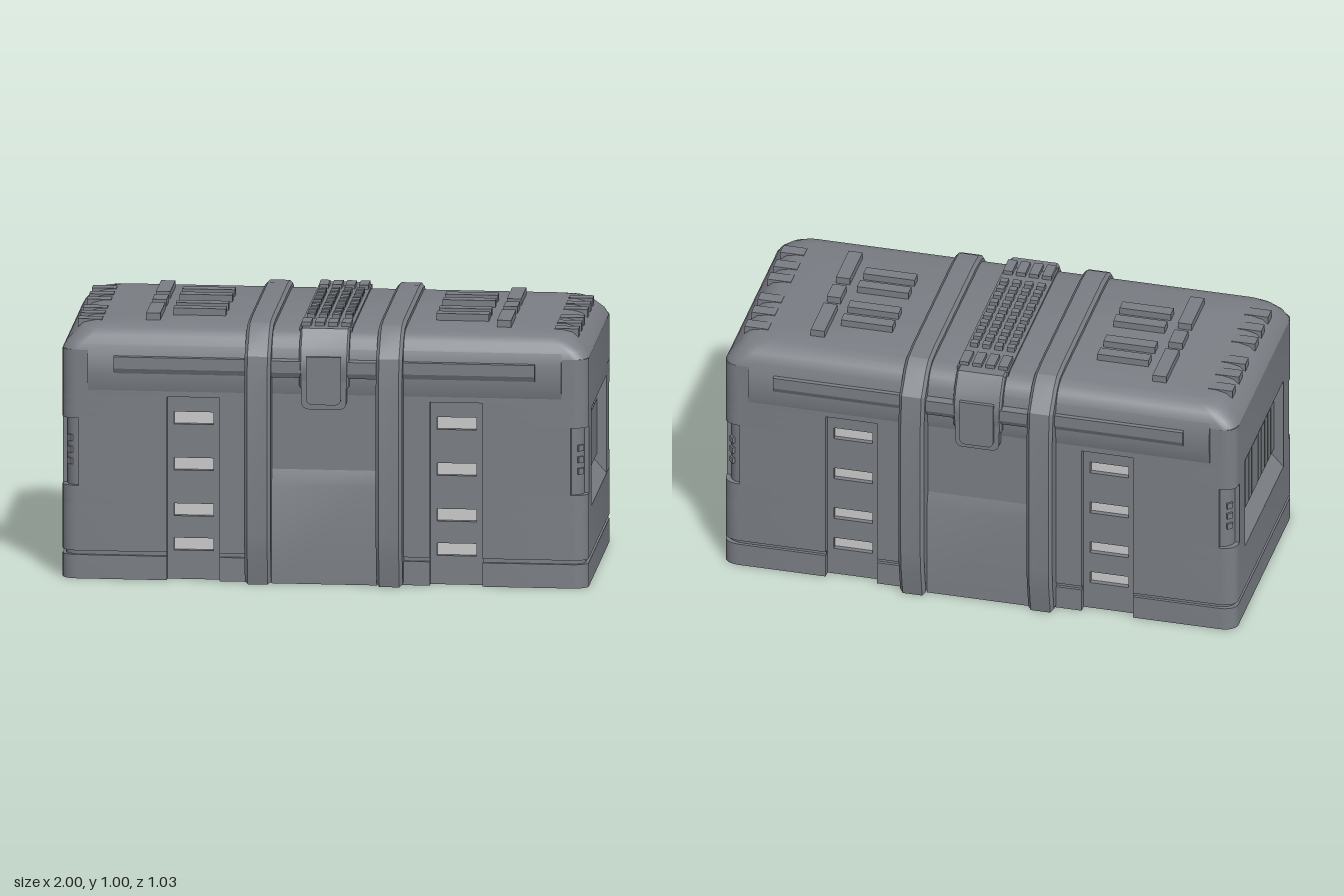
import * as THREE from 'three';
import { toCreasedNormals } from 'three/addons/utils/BufferGeometryUtils.js';

const dark = new THREE.MeshStandardMaterial({ color: 0x7b7f85 });
const light = new THREE.MeshStandardMaterial({ color: 0xcccccc });

export function createModel() {
  const model = new THREE.Group();

  const add = (name, geo, parent = model, mat = dark) => {
    const mesh = new THREE.Mesh(geo, mat);
    mesh.name = name;
    parent.add(mesh);
    return mesh;
  };
  // box from its min and max corners
  const box = (name, x0, x1, y0, y1, z0, z1, parent = model, mat = dark) => {
    const mesh = add(name, new THREE.BoxGeometry(x1 - x0, y1 - y0, z1 - z0), parent, mat);
    mesh.position.set((x0 + x1) / 2, (y0 + y1) / 2, (z0 + z1) / 2);
    return mesh;
  };
  // [z, y] profile swept along x, with an optional bevel on its ends
  const sweepX = (pts, x0, x1, bevel = 0) => {
    const shape = new THREE.Shape(pts.map(([z, y]) => new THREE.Vector2(-z, y)));
    const geo = new THREE.ExtrudeGeometry(shape, {
      depth: x1 - x0 - 2 * bevel, bevelEnabled: bevel > 0, bevelSegments: 1,
      bevelSize: bevel, bevelThickness: bevel, bevelOffset: -bevel,
    });
    return toCreasedNormals(geo.rotateY(Math.PI / 2).translate(x0 + bevel, 0, 0), 0.35);
  };
  const mirrorZ = (half) => [...half, ...half.map(([z, y]) => [-z, y]).reverse()];
  // the same part on the front and, turned round, on the back
  const bothFaces = (name, build) => [0, Math.PI].forEach((turn) => {
    const g = new THREE.Group();
    g.name = name;
    g.rotation.y = turn;
    build(g);
    model.add(g);
  });

  // body: plan sections stacked upwards, notched for columns, corners and end grilles
  const bodyLayer = (y0, y1, { inset = 0, column = true, end = false, corner = false }) => {
    const X = 1 - inset, Z = 0.442 - inset, q = [[0.2, Z]];
    if (column) q.push([0.4, Z], [0.4, 0.385], [0.6, 0.385], [0.6, Z]);
    const d = corner ? 0.014 : 0;
    if (corner) q.push([0.935, Z]);
    for (let i = 0; i <= 6; i++) {
      const a = (i / 6) * Math.PI / 2;
      q.push([X - d - 0.06 + d + (0.06 - d) * Math.sin(a) - (corner ? 0.003 : 0),
        Z - d - 0.045 + 0.045 * Math.cos(a)]);
    }
    if (corner) q.push([X, 0.383]);
    if (end) q.push([X, 0.295], [0.94, 0.295]);
    const half = [...q, ...q.map(([x, z]) => [x, -z]).reverse()];
    const all = [...half, ...half.map(([x, z]) => [-x, -z])];
    const shape = new THREE.Shape(all.map(([x, z]) => new THREE.Vector2(x, z)));
    const geo = new THREE.ExtrudeGeometry(shape, { depth: y1 - y0, bevelEnabled: false });
    add('body', toCreasedNormals(geo.rotateX(-Math.PI / 2).translate(0, y0, 0), 0.5));
  };
  bodyLayer(0, 0.092, {});
  bodyLayer(0.092, 0.108, { inset: 0.012 });
  bodyLayer(0.108, 0.29, {});
  bodyLayer(0.29, 0.36, { end: true });
  bodyLayer(0.36, 0.62, { end: true, corner: true });
  bodyLayer(0.62, 0.67, { end: true });
  bodyLayer(0.67, 0.71, {});
  bodyLayer(0.71, 0.885, { column: false });

  // domed lid: rounded rectangles [half x, half z, radius, y] joined in rings
  const rings = [[1, 0.442, 0.06, 0.885], [0.985, 0.436, 0.065, 0.912], [0.955, 0.42, 0.07, 0.94],
    [0.93, 0.395, 0.08, 0.962], [0.89, 0.355, 0.08, 0.972], [0.001, 0.001, 0.001, 0.973]];
  const pos = [], idx = [], n = 28;
  rings.forEach(([hx, hz, r, y], k) => {
    for (let i = 0; i < n; i++) {
      const c = Math.floor(i / 7), a = (c + (i % 7) / 6) * Math.PI / 2;
      const sx = c === 0 || c === 3 ? 1 : -1, sz = c < 2 ? 1 : -1;
      pos.push(sx * (hx - r) + r * Math.cos(a), y, sz * (hz - r) + r * Math.sin(a));
      if (k) {
        const b = k * n + i, e = k * n + (i + 1) % n;
        idx.push(b - n, b, e, b - n, e, e - n);
      }
    }
  });
  const dome = new THREE.BufferGeometry();
  dome.setAttribute('position', new THREE.Float32BufferAttribute(pos, 3));
  dome.setIndex(idx);
  add('lid', toCreasedNormals(dome, 0.6));
  add('lidOverhang', sweepX(mirrorZ([[0.435, 0.71], [0.445, 0.74], [0.452, 0.79], [0.452, 0.86],
    [0.436, 0.91]]), -0.9, 0.9));

  // straps wrapping the whole case
  const strap = mirrorZ([[0.485, 0], [0.51, 0.13], [0.515, 0.2], [0.515, 0.76], [0.5, 0.885],
    [0.432, 0.965], [0.385, 0.992], [0.3, 1]]);
  for (const x of [-0.3, 0.2]) add('strap', sweepX(strap, x, x + 0.1, 0.012));

  bothFaces('facePanels', (g) => {
    // recessed columns with four light slots each
    for (const x of [-0.5, 0.5]) {
      const plate = new THREE.Shape([[-0.1, 0], [0.1, 0], [0.1, 0.71], [-0.1, 0.71]]
        .map((p) => new THREE.Vector2(...p)));
      for (const y of [0.135, 0.268, 0.445, 0.623]) {
        plate.holes.push(new THREE.Path([[-0.075, y - 0.024], [-0.075, y + 0.024],
          [0.075, y + 0.024], [0.075, y - 0.024]].map((p) => new THREE.Vector2(...p))));
        box('lightSlot', x - 0.076, x + 0.076, y - 0.025, y + 0.025, 0.38, 0.392, g, light);
      }
      const geo = new THREE.ExtrudeGeometry(plate, { depth: 0.03, bevelEnabled: false });
      add('slotColumn', geo.translate(x, 0, 0.382), g);
    }
    // lower centre panel with a sloped ledge
    add('centrePanel', sweepX([[0.42, 0], [0.458, 0], [0.458, 0.38], [0.442, 0.44], [0.42, 0.44]],
      -0.2, 0.2), g);
    // rails along the lid
    const rail = [[0.42, 0.8], [0.455, 0.8], [0.465, 0.82], [0.465, 0.865], [0.42, 0.87]];
    for (const x of [-0.8, 0.28]) add('lidRail', sweepX(rail, x, x + 0.52), g);
    add('centreRail', sweepX(rail.map(([z, y]) => [z + 0.015, y]), -0.2, 0.2), g);
    // latch: hooked plate and rounded tongue
    add('latch', sweepX([[0.35, 0.96], [0.35, 0.982], [0.42, 0.982], [0.462, 0.92], [0.482, 0.86],
      [0.482, 0.83], [0.47, 0.76], [0.44, 0.76]], -0.095, 0.095, 0.008), g);
    const tongue = (w, y0, y1, r) => {
      const s = new THREE.Shape();
      s.moveTo(-w, y1).lineTo(-w, y0 + r).quadraticCurveTo(-w, y0, -w + r, y0);
      s.lineTo(w - r, y0).quadraticCurveTo(w, y0, w, y0 + r).lineTo(w, y1);
      return s;
    };
    const slab = (s, depth, z) => new THREE.ExtrudeGeometry(s,
      { depth, bevelEnabled: false, curveSegments: 5 }).translate(0, 0, z);
    add('latchTongue', slab(tongue(0.085, 0.68, 0.87, 0.03), 0.04, 0.435), g);
    add('latchFace', slab(tongue(0.066, 0.7, 0.885, 0.025), 0.06, 0.428), g);
    // ribbed grip behind each latch
    for (let i = 0; i < 4; i++) {
      const x = -0.076 + i * 0.0507;
      box('gripRib', x - 0.018, x + 0.018, 0.97, 0.997, 0.295, 0.378, g);
    }
  });

  // end grilles with sloped sills, and tabs on the lid edge
  bothFaces('endPanels', (g) => {
    const wedge = (pts) => {
      const s = new THREE.Shape(pts.map((p) => new THREE.Vector2(...p)));
      return new THREE.ExtrudeGeometry(s, { depth: 0.59, bevelEnabled: false }).translate(0, 0, -0.295);
    };
    add('lowerSill', wedge([[0.935, 0.29], [1, 0.29], [0.94, 0.358], [0.935, 0.358]]), g);
    add('upperSill', wedge([[0.935, 0.67], [0.935, 0.62], [0.94, 0.62], [1, 0.67]]), g);
    const edges = [-0.294, -0.246, -0.194, -0.148, -0.096, -0.051];
    const slat = (z0, z1) => {
      const s = new THREE.Shape([[0.935, 0.366], [0.964, 0.366], [0.964, 0.578], [0.945, 0.598],
        [0.935, 0.598]].map((p) => new THREE.Vector2(...p)));
      add('grilleSlat', new THREE.ExtrudeGeometry(s, { depth: z1 - z0 - 0.008, bevelEnabled: false })
        .translate(0, 0, z0 + 0.004), g);
    };
    for (let i = 0; i < 5; i++) {
      slat(edges[i], edges[i + 1]);
      slat(-edges[i + 1], -edges[i]);
    }
    slat(-0.051, 0.051);
    for (const z of [-0.275, -0.17, -0.075, 0.075, 0.17, 0.275]) {
      box('lidTab', 0.86, 0.952, 0.935, 0.975, z - 0.026, z + 0.026, g);
    }
    // studs in the corner recesses
    for (const s of [-1, 1]) for (const y of [0.45, 0.495, 0.54]) {
      const stud = box('cornerStud', -0.012, 0.012, y - 0.012, y + 0.012, -0.008, 0.008, g);
      stud.position.set(0.969, y, s * 0.415);
      stud.rotation.y = s * Math.PI / 4;
    }
  });

  // raised bars on the lid
  for (const s of [-1, 1]) {
    for (const z of [-0.18, -0.083, 0.067, 0.163]) {
      box('lidBar', s * 0.5 - 0.1, s * 0.5 + 0.1, 0.965, 0.999, z - 0.024, z + 0.024);
    }
    for (const [z0, z1] of [[-0.3, -0.1], [-0.052, 0.04], [0.09, 0.285]]) {
      box('lidCrossBar', s * 0.667 - 0.027, s * 0.667 + 0.027, 0.965, 0.999, z0, z1);
    }
  }

  // studded centre pad
  box('centrePad', -0.1, 0.1, 0.96, 0.981, -0.388, 0.388);
  for (let i = 0; i < 4; i++) {
    for (let j = 0; j < 10; j++) {
      const x = -0.072 + i * 0.048, z = -0.228 + j * 0.0505;
      box('padStud', x - 0.015, x + 0.015, 0.975, 0.999, z - 0.014, z + 0.014);
    }
  }
  return model;
}
